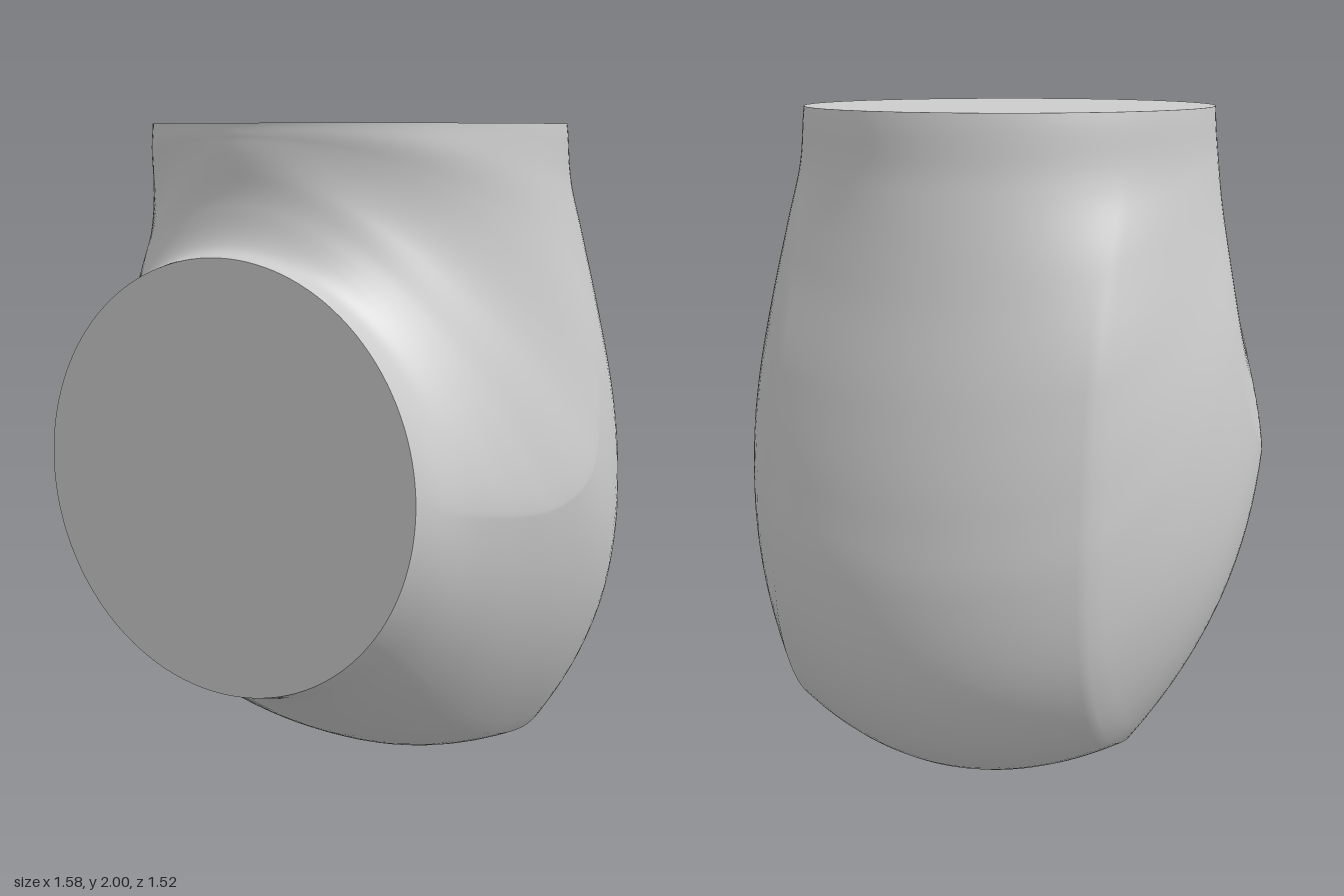
import * as THREE from 'three';

// The elbow is a fan of cross-sections hinged on the inner corner (z = 0.76, y = 2).
const PIVOT_Z = 0.76, PIVOT_Y = 2;
const CREASE_X = 0.48, CREASE_SAG = 0.14;
const RINGS = 90, HALF = 32;

// Keys: [fan angle in degrees, value]; distances are measured from the hinge.
const inner = [[0, 0.1], [20, 0.105], [40, 0.125], [54, 0.163], [68, 0.24], [81, 0.33], [90, 0.355]];
const widest = [[0, 0.72], [12, 0.745], [25, 0.87], [40, 1.08], [52, 1.2], [62, 1.19], [75, 1.08], [90, 0.967]];
const width = [[0, 0.617], [12, 0.63], [25, 0.668], [40, 0.742], [52, 0.787], [58, 0.788], [65, 0.755], [72, 0.705], [80, 0.65], [90, 0.613]];
const pouch = [[0, 0], [10, 0.1], [18, 0.6], [28, 1], [72, 1], [81, 0.6], [90, 0]];

// Outer outline in the middle plane as [z, y], turned into the same kind of keys
const outer = [
  [-0.58, 2], [-0.605, 1.8], [-0.66, 1.5], [-0.715, 1.2], [-0.75, 0.9], [-0.76, 0.7],
  [-0.72, 0.4], [-0.62, 0.2], [-0.5, 0.085], [-0.36, 0.02], [-0.23, 0], [0, 0.04], [0.2, 0.125],
  [0.4, 0.24], [0.54, 0.325], [0.65, 0.385], [0.76, 0.42],
].map(([z, y]) => [
  THREE.MathUtils.radToDeg(Math.atan2(PIVOT_Y - y, PIVOT_Z - z)),
  Math.hypot(PIVOT_Y - y, PIVOT_Z - z),
]);

// Smooth interpolation through keys
function track(keys, t) {
  const last = keys.length - 1;
  let i = 0;
  while (i < last - 1 && t > keys[i + 1][0]) i++;
  const slope = (k) => {
    const a = keys[Math.max(0, k - 1)], b = keys[Math.min(last, k + 1)];
    return (b[1] - a[1]) / (b[0] - a[0]);
  };
  const [t0, v0] = keys[i], [t1, v1] = keys[i + 1];
  const h = t1 - t0, s = THREE.MathUtils.clamp((t - t0) / h, 0, 1), s2 = s * s, s3 = s2 * s;
  return v0 * (2 * s3 - 3 * s2 + 1) + h * slope(i) * (s3 - 2 * s2 + s)
    + v1 * (3 * s2 - 2 * s3) + h * slope(i + 1) * (s3 - s2);
}

// One closed cross-section: rounded inside, softly creased pouch outside
function section(deg) {
  const ri = track(inner, deg), ro = track(outer, deg), rc = track(widest, deg);
  const w = track(width, deg), p = THREE.MathUtils.clamp(track(pouch, deg), 0, 1);
  const angle = THREE.MathUtils.degToRad(deg);
  const power = 1 + 0.9 * Math.sin(angle) ** 2 * Math.sin(2 * angle);
  const lerp = THREE.MathUtils.lerp;
  const half = [];
  for (let k = 0; k < HALF; k++) {
    const a = (k / HALF) * Math.PI / 2;
    half.push([w * Math.sin(a), rc - (rc - ri) * Math.cos(a) ** power]);
  }
  const corner = Math.acos(CREASE_X / w);
  for (let k = 0; k <= HALF; k++) {
    const b = 2 * k / HALF;
    if (b <= 1) {
      const a = corner * b;
      half.push([
        lerp(w * Math.cos(a), w - (w - CREASE_X) * b ** 2.2, p),
        lerp(rc + (ro - rc) * Math.sin(a), rc + (ro - CREASE_SAG - rc) * b, p),
      ]);
    } else {
      const x = CREASE_X * (2 - b);
      half.push([x, lerp(rc + (ro - rc) * Math.sqrt(1 - (x / w) ** 2),
        ro - CREASE_SAG * (x / CREASE_X) ** 2, p)]);
    }
  }
  const mirrored = half.slice(1, -1).reverse().map(([x, r]) => [-x, r]);
  return [...half, ...mirrored].map(([x, r]) => new THREE.Vector3(
    x, PIVOT_Y - r * Math.sin(angle), PIVOT_Z - r * Math.cos(angle)));
}

function meshFrom(name, points, index) {
  const geometry = new THREE.BufferGeometry().setFromPoints(points);
  geometry.setIndex(index);
  geometry.computeVertexNormals();
  const mesh = new THREE.Mesh(geometry, new THREE.MeshStandardMaterial({ color: 0xcccccc }));
  mesh.name = name;
  return mesh;
}

// Flat disc closing one end of the elbow
function endCap(name, ring, flip) {
  const n = ring.length, index = [];
  const centre = ring[0].clone().add(ring[n / 2]).multiplyScalar(0.5);
  for (let j = 0; j < n; j++) {
    const k = (j + 1) % n;
    index.push(n, flip ? k : j, flip ? j : k);
  }
  return meshFrom(name, [...ring, centre], index);
}

export function createModel() {
  const group = new THREE.Group();
  group.name = 'elbowJoint';

  // Body lofted through the fan of sections
  const rings = Array.from({ length: RINGS + 1 }, (_, i) => section(90 * i / RINGS));
  const n = rings[0].length, index = [];
  for (let i = 0; i < RINGS; i++) {
    for (let j = 0; j < n; j++) {
      const k = (j + 1) % n;
      const a = i * n + j, b = a + n, c = (i + 1) * n + k, d = i * n + k;
      index.push(a, b, c, a, c, d);
    }
  }
  group.add(meshFrom('elbowBody', rings.flat(), index));

  // Flat ends
  group.add(endCap('topEnd', rings[0], false));
  group.add(endCap('frontEnd', rings[RINGS], true));
  return group;
}
